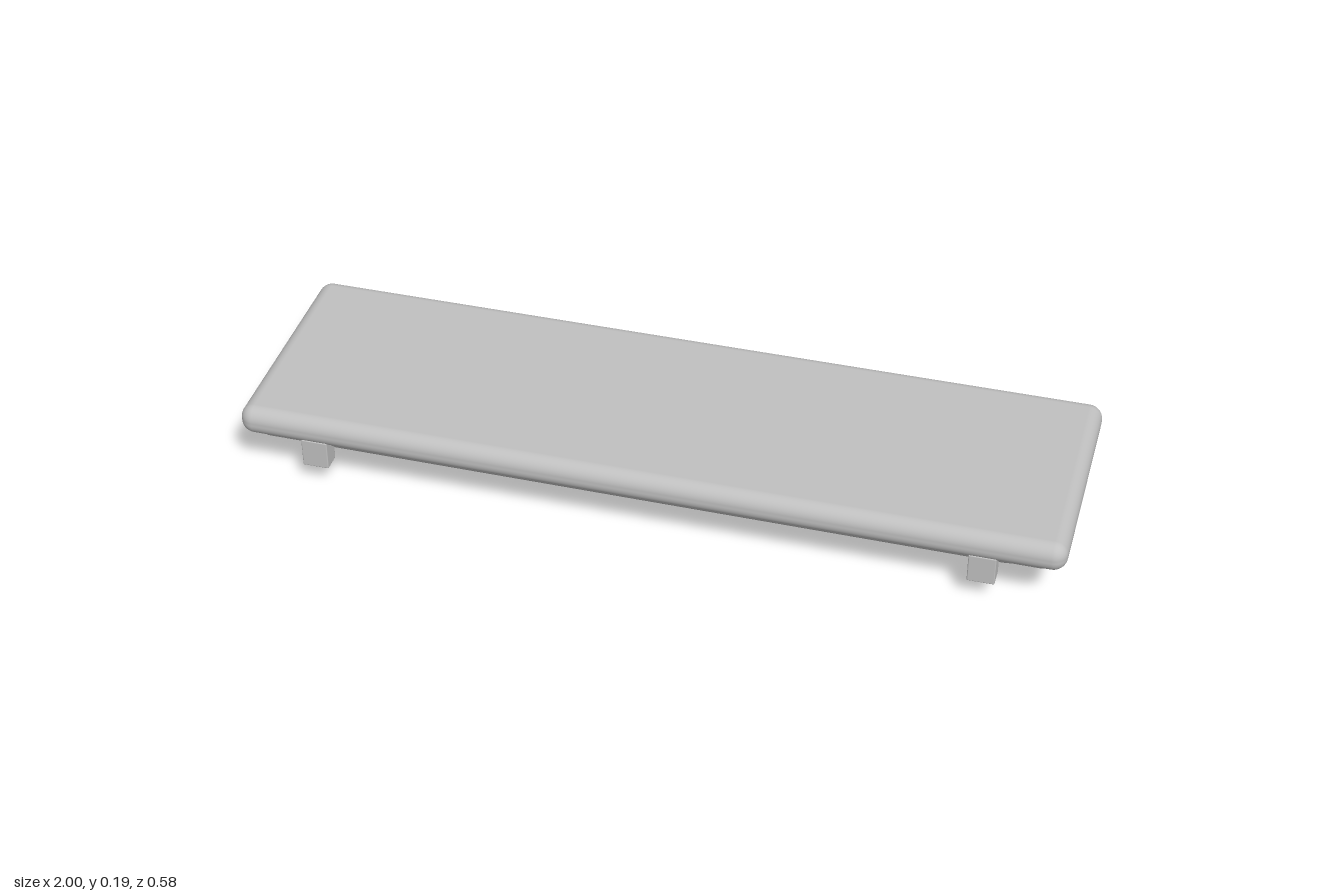
import * as THREE from 'three';
import { RoundedBoxGeometry } from 'three/addons/geometries/RoundedBoxGeometry.js';
import { mergeVertices } from 'three/addons/utils/BufferGeometryUtils.js';

// Shallow elliptical trough with rounded ends, lofted from plan outlines going down
function bellyGeometry() {
  const rings = 20, arc = 20, pos = [], index = [];
  const n = 2 * (arc + 1);
  const soft = (v) => Math.sign(v) * Math.abs(v) ** 0.8;
  for (let i = 0; i <= rings; i++) {
    const a = (i / rings) * Math.PI / 2;
    const y = 0.1 - 0.098 * Math.sin(a);
    const halfX = 0.935 - 0.06 * (1 - Math.cos(a));
    const halfZ = 0.23 * Math.cos(a);
    for (const side of [1, -1]) {
      for (let k = 0; k <= arc; k++) {
        const t = (k / arc - 0.5) * Math.PI;
        pos.push(side * (halfX - 0.08 + 0.08 * soft(Math.cos(t))), y, side * halfZ * soft(Math.sin(t)));
      }
    }
  }
  for (let i = 0; i < rings; i++) {
    for (let k = 0; k < n; k++) {
      const a = i * n + k, b = i * n + (k + 1) % n;
      index.push(a, b, a + n, b, b + n, a + n);
    }
  }
  let g = new THREE.BufferGeometry();
  g.setAttribute('position', new THREE.Float32BufferAttribute(pos, 3));
  g.setIndex(index);
  g = mergeVertices(g, 1e-5);
  g.computeVertexNormals();
  return g;
}

export function createModel() {
  const group = new THREE.Group();
  const grey = new THREE.MeshStandardMaterial({ color: 0xc0c0c0 });
  grey.name = 'light grey';

  const add = (name, geometry, x = 0, y = 0, z = 0) => {
    const mesh = new THREE.Mesh(geometry, grey);
    mesh.name = name;
    mesh.position.set(x, y, z);
    group.add(mesh);
  };

  // Top slab and the thinner plate beneath it
  add('topSlab', new RoundedBoxGeometry(2, 0.075, 0.584, 6, 0.034), 0, 0.1525, 0);
  add('underPlate', new RoundedBoxGeometry(1.92, 0.06, 0.52, 5, 0.021), 0, 0.123, 0);

  // Rounded belly
  add('belly', bellyGeometry());

  // Four clips hanging along the long edges
  for (const x of [-0.81, 0.81]) {
    for (const z of [-0.263, 0.263]) {
      add('clip', new RoundedBoxGeometry(0.065, 0.075, 0.048, 2, 0.003), x, 0.0915, z);
    }
  }
  return group;
}
